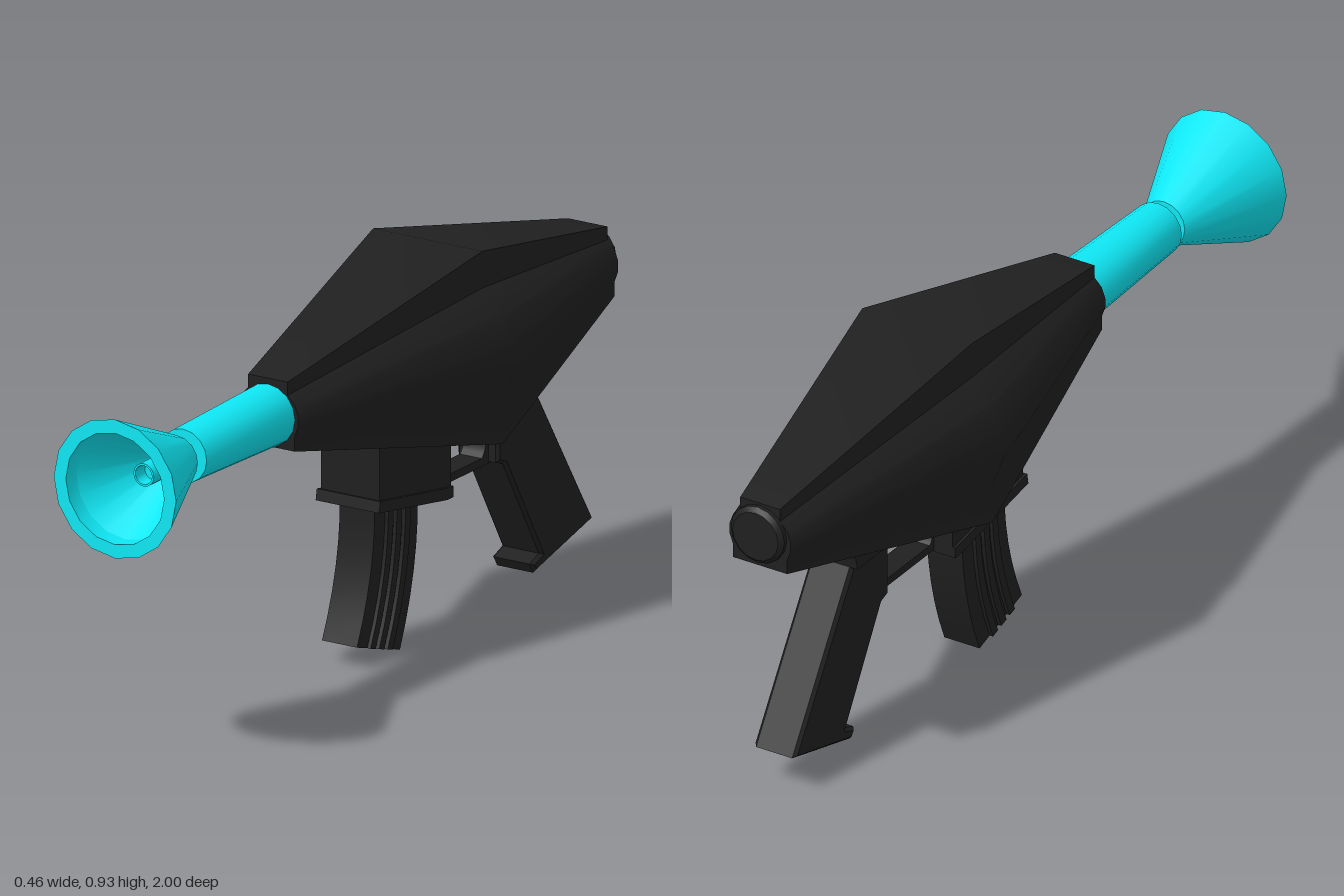
import * as THREE from 'three';
import { toCreasedNormals } from 'three/addons/utils/BufferGeometryUtils.js';

const AXIS_Y = 0.7;

const outline = (points) => new THREE.Shape(points.map(([x, y]) => new THREE.Vector2(x, y)));

export function createModel() {
  const model = new THREE.Group();
  model.name = 'launcher';
  const black = new THREE.MeshStandardMaterial({ color: 0x202020 });
  const cyan = new THREE.MeshStandardMaterial({ color: 0x0fe8f5 });

  function add(name, geometry, material) {
    const mesh = new THREE.Mesh(toCreasedNormals(geometry, 0.5), material);
    mesh.name = name;
    model.add(mesh);
  }

  // Side profile in (z, y), extruded across x and centred
  function slab(name, shape, halfWidth, bevel = 0) {
    const depth = 2 * (halfWidth - bevel);
    const geometry = new THREE.ExtrudeGeometry(shape, {
      depth, bevelEnabled: bevel > 0, bevelThickness: bevel, bevelSize: bevel,
      bevelOffset: -bevel, bevelSegments: 1, curveSegments: 8,
    });
    geometry.translate(0, 0, -depth / 2).rotateY(-Math.PI / 2);
    add(name, geometry, black);
  }

  // Turned part of [radius, z] points around a horizontal axis
  function turned(name, profile, material, axisY = AXIS_Y) {
    const points = profile.map(([r, z]) => new THREE.Vector2(r, z));
    const geometry = new THREE.LatheGeometry(points, 16);
    geometry.rotateX(Math.PI / 2).translate(0, axisY, 0);
    add(name, geometry, material);
  }

  // Body: one cross-section, widest in the middle and tapered to both ends
  const half = [[0.205, -0.228], [0.205, -0.13], [0.232, -0.055], [0.232, 0.01],
    [0.205, 0.084], [0.15, 0.14], [0.15, 0.229]];
  const section = [...half, ...half.map(([x, y]) => [-x, y]).reverse()];
  const body = new THREE.ExtrudeGeometry(outline(section),
    { depth: 1.34, steps: 2, bevelEnabled: false });
  body.translate(0, 0, -0.67);
  const pos = body.attributes.position;
  for (let i = 0; i < pos.count; i++) {
    const s = 1 - 0.64 * Math.abs(pos.getZ(i)) / 0.67;
    pos.setXY(i, pos.getX(i) * s, pos.getY(i) * s);
  }
  body.translate(0, 0.706, -0.31);
  add('body', body, black);

  // Rear cap
  turned('rearCap', [[0, -1], [0.062, -1], [0.073, -0.99], [0.073, -0.96]], black, 0.71);

  // Barrel, neck and flared muzzle
  turned('barrel', [[0.075, 0.34], [0.065, 0.715], [0, 0.715]], cyan);
  turned('neck', [[0.035, 0.7], [0.035, 0.75]], cyan);
  turned('muzzle', [[0, 0.74], [0.057, 0.74], [0.168, 1], [0.135, 1],
    [0.135, 0.955], [0.03, 0.77], [0, 0.77]], cyan);
  turned('muzzleRod', [[0.028, 0.76], [0.028, 0.88], [0.023, 0.88],
    [0.023, 0.84], [0, 0.84]], cyan);

  // Magazine well and its slanted lip
  slab('magazineWell', outline([[0.015, 0.385], [0.015, 0.6], [-0.285, 0.6],
    [-0.285, 0.345]]), 0.08);
  slab('magazineWellLip', outline([[0.027, 0.383], [0.022, 0.41], [-0.27, 0.362],
    [-0.285, 0.362], [-0.285, 0.335], [-0.26, 0.335]]), 0.087);

  // Curved magazine: core plus raised ribs following the same curve
  function magazineStrip(name, from, to, halfWidth) {
    const front = [], back = [];
    for (let i = 0; i <= 6; i++) {
      const t = i / 6, bend = 0.08 * t * (1 - t);
      const z = -0.015 + 0.075 * t - bend;
      const yFront = 0.39 - 0.33 * t, yBack = 0.355 - 0.35 * t;
      const at = (k) => [z - 0.18 * k, yFront + (yBack - yFront) * k];
      front.push(at(from));
      back.push(at(to));
    }
    slab(name, outline([...front, ...back.reverse()]), halfWidth);
  }
  magazineStrip('magazine', 0, 1, 0.048);
  for (const k of [0.24, 0.44, 0.64]) magazineStrip('magazineRib', k, k + 0.12, 0.057);

  // Receiver block under the body, rounded into it at the rear
  const receiver = outline([[-0.27, 0.487], [-0.27, 0.62], [-0.76, 0.62], [-0.76, 0.575]]);
  receiver.quadraticCurveTo(-0.68, 0.56, -0.675, 0.487);
  receiver.closePath();
  slab('receiver', receiver, 0.07);

  // Trigger guard with a round-ended opening
  const guard = outline([[-0.27, 0.34], [-0.55, 0.34], [-0.55, 0.5], [-0.27, 0.5]]);
  const opening = new THREE.Path();
  opening.moveTo(-0.305, 0.36);
  opening.quadraticCurveTo(-0.285, 0.375, -0.288, 0.425);
  opening.quadraticCurveTo(-0.295, 0.485, -0.34, 0.485);
  opening.lineTo(-0.46, 0.485);
  opening.quadraticCurveTo(-0.505, 0.485, -0.51, 0.425);
  opening.quadraticCurveTo(-0.51, 0.375, -0.49, 0.36);
  opening.closePath();
  guard.holes.push(opening);
  slab('triggerGuard', guard, 0.03);

  // Raked pistol grip with a toe at the bottom
  slab('grip', outline([[-0.518, 0.345], [-0.518, 0.53], [-0.675, 0.53], [-0.675, 0.488],
    [-0.92, 0.1], [-0.675, 0.035], [-0.66, 0.06], [-0.7, 0.075], [-0.548, 0.335]]), 0.057, 0.008);

  return model;
}
